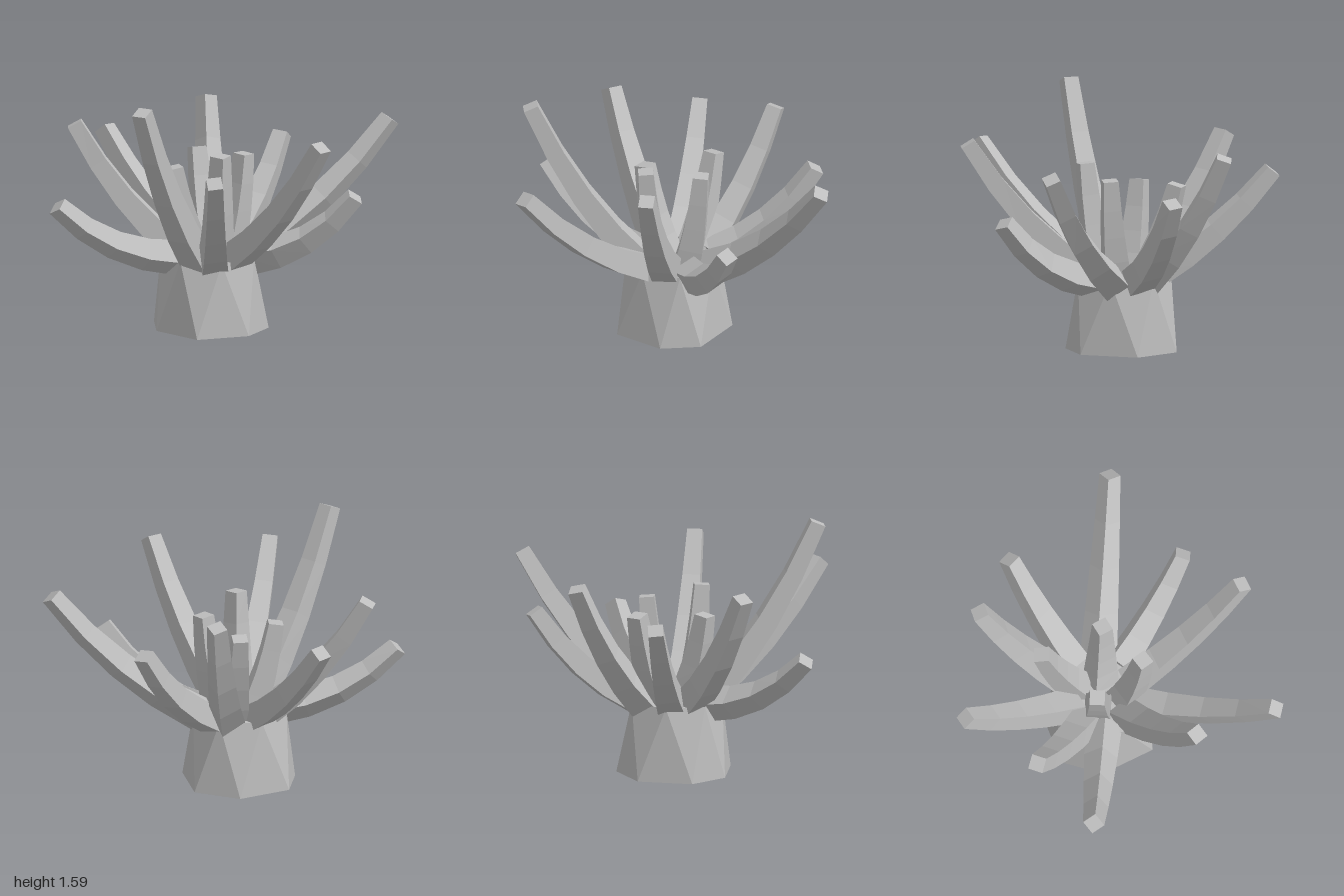
import * as THREE from 'three';

const stone = new THREE.MeshStandardMaterial({ color: 0xbdbdbd, flatShading: true });
stone.name = 'grey';

// Seven-sided stump: an uneven lower ring joined to a smaller ring set half a step round
function makeStump() {
  const low = [[0.305, -0.06], [0.15, 0.28], [-0.1, 0.34], [-0.395, 0.17], [-0.39, -0.18], [-0.2, -0.375], [0.147, -0.33]];
  const n = low.length, cx = -0.05, cz = -0.02, topY = 0.47;
  const b = low.map(([x, z]) => [x, 0, z]);
  const t = low.map(([x, z], i) => {
    const [x2, z2] = low[(i + 1) % n];
    return [cx + ((x + x2) / 2 - cx) * 0.9, topY, cz + ((z + z2) / 2 - cz) * 0.9];
  });
  const pos = [];
  const tri = (...corners) => corners.forEach((c) => pos.push(...c));
  for (let i = 0; i < n; i++) {
    const j = (i + 1) % n;
    tri(b[j], b[i], t[i]);
    tri(b[j], t[i], t[j]);
    if (i > 0 && i < n - 1) {
      tri(b[0], b[i], b[j]);
      tri(t[0], t[j], t[i]);
    }
  }
  const geo = new THREE.BufferGeometry();
  geo.setAttribute('position', new THREE.Float32BufferAttribute(pos, 3));
  geo.computeVertexNormals();
  return geo;
}

// Tapered square arm bent along a sagging curve; roll turns its section
function makeArm(start, tip, sag, roll) {
  const a = new THREE.Vector3(...start), c = new THREE.Vector3(...tip);
  const mid = a.clone().lerp(c, 0.5);
  const out = new THREE.Vector3(c.x - a.x, 0, c.z - a.z).normalize();
  mid.y -= sag;
  mid.addScaledVector(out, sag * 0.4);
  const curve = new THREE.QuadraticBezierCurve3(a, mid, c);
  const side = new THREE.Vector3(out.z, 0, -out.x);

  const geo = new THREE.CylinderGeometry(0.067, 0.118, 1, 4, 4, false, Math.PI / 4 + roll);
  const p = geo.attributes.position, v = new THREE.Vector3();
  for (let i = 0; i < p.count; i++) {
    const u = THREE.MathUtils.clamp(p.getY(i) + 0.5, 0, 1);
    const tangent = curve.getTangent(u);
    const across = side.clone().cross(tangent);
    v.copy(curve.getPoint(u)).addScaledVector(side, p.getX(i)).addScaledVector(across, p.getZ(i));
    p.setXYZ(i, v.x, v.y, v.z);
  }
  geo.computeVertexNormals();
  return geo;
}

export function createModel() {
  const model = new THREE.Group();
  model.name = 'branchingStump';
  const add = (name, geo) => {
    const mesh = new THREE.Mesh(geo, stone);
    mesh.name = name;
    model.add(mesh);
  };

  add('stump', makeStump());

  // Long arms spreading round the rim: start, tip, sag, roll
  const outer = [
    [[-0.25, 0.46, 0.05], [-0.94, 1.57, 0.2], 0.14, 0],
    [[-0.2, 0.46, 0.13], [-0.9, 1.2, 0.78], 0.14, 0.15],
    [[-0.08, 0.47, 0.18], [-0.105, 1.32, 0.96], 0.13, 0],
    [[0.06, 0.45, 0.17], [0.385, 0.89, 0.8], 0.16, 0.45],
    [[0.16, 0.45, 0.08], [0.95, 1.26, 0.58], 0.14, 0.7],
    [[0.18, 0.47, -0.08], [0.81, 1.06, -0.21], 0.13, 0.2],
    [[0.12, 0.47, -0.16], [0.51, 1.29, -0.58], 0.12, 0.6],
    [[-0.05, 0.47, -0.2], [-0.02, 1.12, -0.96], 0.1, 0.15],
    [[-0.17, 0.47, -0.17], [-0.55, 1.28, -0.73], 0.12, 0.15],
    [[-0.25, 0.46, -0.1], [-0.93, 0.845, -0.53], 0.16, 0.7],
  ];
  outer.forEach((arm, i) => add(`outerArm${i + 1}`, makeArm(...arm)));

  // Short upright arms in the middle
  const inner = [
    [[-0.14, 0.45, 0.1], [-0.21, 1.16, 0.2], 0.06, 0.785],
    [[0.03, 0.45, 0.03], [0.125, 1.1, 0.09], 0.06, 0.6],
    [[-0.12, 0.45, -0.07], [-0.26, 1.04, -0.15], 0.06, 0],
    [[0.04, 0.45, -0.12], [0.15, 1.07, -0.33], 0.06, 0],
  ];
  inner.forEach((arm, i) => add(`innerArm${i + 1}`, makeArm(...arm)));

  return model;
}
